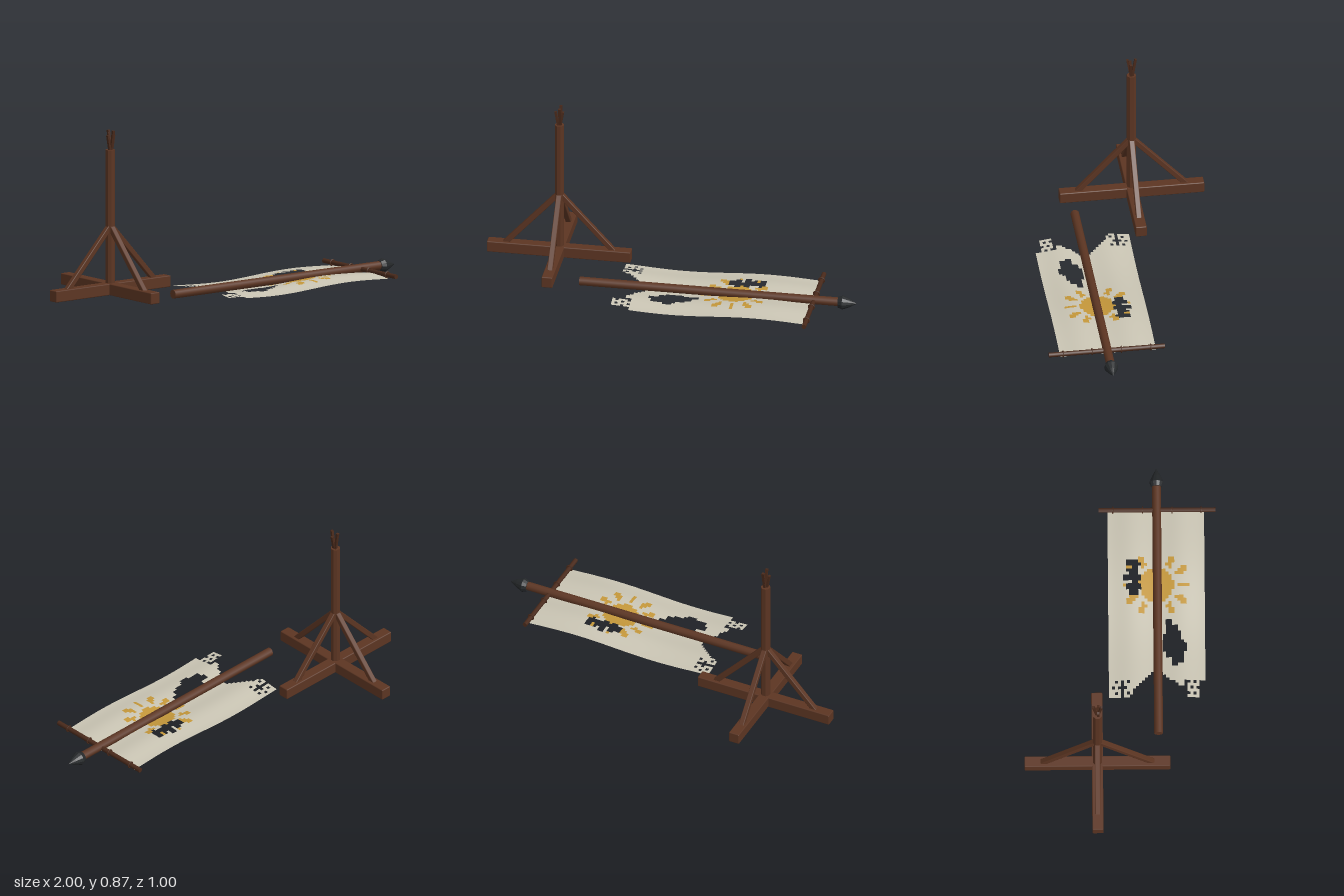
import * as THREE from 'three';
import { RoundedBoxGeometry } from 'three/addons/geometries/RoundedBoxGeometry.js';

const mat = (name, color, side = THREE.FrontSide) => {
  const m = new THREE.MeshStandardMaterial({ color, side });
  m.name = name;
  return m;
};

export function createModel() {
  const wood = mat('brown wood', 0x5c3522);
  const darkWood = mat('dark wood', 0x4a2a1b);
  const iron = mat('black iron', 0x25282a);
  const cream = mat('cream cloth', 0xc9c4b3, THREE.DoubleSide);
  const gold = mat('gold paint', 0xc4973a, THREE.DoubleSide);

  const model = new THREE.Group();
  model.name = 'brokenStandard';
  const add = (parent, name, geo, material, x = 0, y = 0, z = 0) => {
    const mesh = new THREE.Mesh(geo, material);
    mesh.name = name;
    mesh.position.set(x, y, z);
    parent.add(mesh);
    return mesh;
  };

  // Stand: crossed feet, post, four braces, splintered top
  const stand = new THREE.Group();
  stand.name = 'stand';
  stand.position.set(-0.622, 0, -0.123);
  model.add(stand);
  add(stand, 'footBeamAcross', new RoundedBoxGeometry(0.755, 0.06, 0.058, 1, 0.005), wood, 0, 0.044, 0);
  add(stand, 'footBeamAlong', new RoundedBoxGeometry(0.058, 0.06, 0.755, 1, 0.005), wood, 0, 0.0445, 0);
  const postGeo = new THREE.CylinderGeometry(0.025, 0.025, 0.71, 8).toNonIndexed();
  postGeo.rotateY(Math.PI / 8);
  postGeo.computeVertexNormals();
  add(stand, 'post', postGeo, wood, 0, 0.418, 0);

  for (let i = 0; i < 4; i++) {
    const side = new THREE.Group();
    side.name = 'braceSide';
    side.rotation.y = i * Math.PI / 2;
    stand.add(side);
    // Brace leans from the foot up to the post
    const dx = 0.265, dy = 0.29;
    const brace = add(side, 'brace', new RoundedBoxGeometry(0.028, Math.hypot(dx, dy) + 0.02, 0.028, 1, 0.004),
      wood, 0.147, 0.215, 0);
    brace.rotation.z = Math.atan2(dx, dy);
    // Splinter
    const h = i % 2 ? 0.115 : 0.09;
    const splinter = add(side, 'splinter', new THREE.BoxGeometry(0.011, h, 0.014), darkWood,
      0.012, 0.76 + h / 2, i < 2 ? 0.004 : -0.004);
    splinter.rotation.z = -0.17;
  }
  const tall = add(stand, 'splinter', new THREE.BoxGeometry(0.012, 0.115, 0.012), darkWood, 0.004, 0.817, -0.012);
  tall.rotation.x = -0.15;

  // Fallen pole with iron spearhead
  const poleGeo = new THREE.CylinderGeometry(0.023, 0.023, 1.37, 10);
  poleGeo.rotateZ(-Math.PI / 2);
  add(model, 'pole', poleGeo, wood, 0.225, 0.04, 0.195);
  const headGeo = new THREE.LatheGeometry(
    [[0, 0], [0.028, 0], [0.037, 0.024], [0.022, 0.06], [0, 0.1]].map(p => new THREE.Vector2(...p)), 12).toNonIndexed();
  headGeo.rotateZ(-Math.PI / 2);
  headGeo.computeVertexNormals();
  add(model, 'spearhead', headGeo, iron, 0.897, 0.0375, 0.195);

  // Crossbar with binding rings
  const barGeo = new THREE.CylinderGeometry(0.0125, 0.0125, 0.605, 8);
  barGeo.rotateX(Math.PI / 2);
  add(model, 'crossbar', barGeo, darkWood, 0.77, 0.0375, 0.1975);
  for (const z of [-0.032, 0.122, 0.274, 0.425]) {
    add(model, 'bindingRing', new THREE.TorusGeometry(0.0155, 0.0035, 6, 12), darkWood, 0.77, 0.0375, z);
  }

  // Cloth: a rippled grid whose cells are cream, gold or torn away
  const COLS = 64, ROWS = 32;
  const tornStart = [0, 0, 0, 0, 6, 0, 0, 1, 3, 4, 5, 6, 7, 8, 9, 9, 9, 9, 8, 7, 6, 6, 5, 4, 4, 6, 0, 0, 0, 0, 6, 6];
  const holeRows = { 18: [16, 21], 19: [14, 26], 20: [14, 26], 21: [11, 24], 22: [11, 24], 23: [12, 22], 24: [12, 19], 25: [16, 18] };
  const holeCols = [[7, 9], [7, 9], [6, 10], [6, 10], [8, 9], [5, 10], [5, 10], [7, 9], [6, 9], [8, 9], [6, 10], [6, 9]];
  const within = (v, span) => span && v >= span[0] && v <= span[1];
  const isTorn = (c, r) => {
    if (c < tornStart[r]) return true;
    if (within(c, holeRows[r]) || within(r, holeCols[c - 35])) return true;
    const corner = (r >= 1 && r <= 6) || (r >= 26 && r <= 29);
    return corner && c >= 1 && c <= 5 && (c + r * 2) % 4 === 1;
  };
  const isSun = (c, r) => {
    const dx = c + 0.5 - 38.5, dz = r + 0.5 - 16, d = Math.hypot(dx, dz);
    if (d < 5.7) return true;
    const step = Math.PI / 6, a = Math.atan2(dz, dx);
    const off = Math.abs(a - Math.round(a / step) * step) * d;
    return d > 7.3 && d < 11.4 && off < 0.95;
  };

  const clothGeo = new THREE.PlaneGeometry(1.03, 0.5, COLS, ROWS);
  clothGeo.rotateX(-Math.PI / 2);
  clothGeo.translate(0.255, 0, 0.19);
  const pos = clothGeo.attributes.position;
  for (let i = 0; i < pos.count; i++) {
    const x = pos.getX(i), z = pos.getZ(i);
    pos.setY(i, 0.028 + 0.009 * Math.cos(2 * Math.PI * (x - 0.5) / 0.9)
      - 0.006 * Math.cos(4 * Math.PI * (z - 0.19) / 0.5));
  }
  clothGeo.computeVertexNormals();
  const cells = Array.from(clothGeo.index.array);
  const creamIndex = [], goldIndex = [];
  for (let r = 0; r < ROWS; r++) {
    for (let c = 0; c < COLS; c++) {
      if (isTorn(c, r)) continue;
      const k = (r * COLS + c) * 6;
      (isSun(c, r) ? goldIndex : creamIndex).push(...cells.slice(k, k + 6));
    }
  }
  clothGeo.setIndex([...creamIndex, ...goldIndex]);
  clothGeo.clearGroups();
  clothGeo.addGroup(0, creamIndex.length, 0);
  clothGeo.addGroup(creamIndex.length, goldIndex.length, 1);
  add(model, 'tornCloth', clothGeo, [cream, gold]);

  return model;
}
